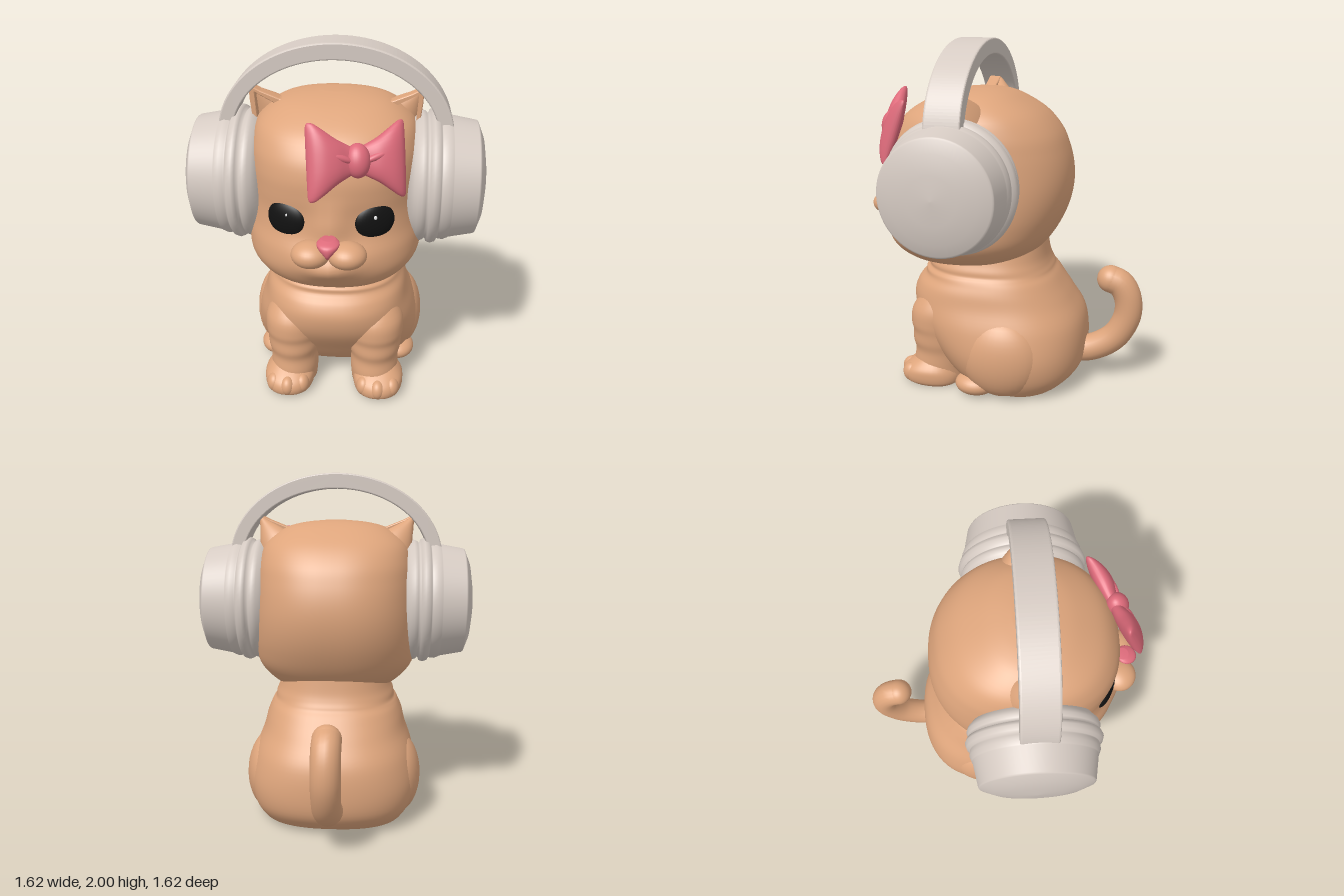
import * as THREE from 'three';

const mat = (name, color) => Object.assign(new THREE.MeshStandardMaterial({ color }), { name });

// Smooth closed surface through levels [y, zFront, zBack, halfWidth], superelliptic in section
function loft(levels, n = 2, seg = 48, sub = 5) {
  const rows = [];
  const at = (i) => levels[Math.max(0, Math.min(levels.length - 1, i))];
  for (let i = 0; i < levels.length - 1; i++) {
    for (let s = 0; s < sub; s++) {
      const t = s / sub;
      rows.push(at(i).map((b, k) => {
        const a = at(i - 1)[k], c = at(i + 1)[k], d = at(i + 2)[k];
        return b + 0.5 * t * (c - a + t * (2 * a - 5 * b + 4 * c - d + t * (3 * (b - c) + d - a)));
      }));
    }
  }
  rows.push(at(levels.length - 1));
  const pos = [], idx = [];
  const pw = (v) => Math.sign(v) * Math.abs(v) ** (2 / n);
  for (const [y, zf, zb, w] of rows) {
    for (let j = 0; j < seg; j++) {
      const a = (j / seg) * Math.PI * 2;
      pos.push(w * pw(Math.cos(a)), y, (zf + zb) / 2 + ((zf - zb) / 2) * pw(Math.sin(a)));
    }
  }
  for (let i = 0; i < rows.length - 1; i++) {
    for (let j = 0; j < seg; j++) {
      const a = i * seg + j, b = i * seg + (j + 1) % seg;
      idx.push(a, a + seg, b, b, a + seg, b + seg);
    }
  }
  // end caps
  for (const [r, flip] of [[0, false], [rows.length - 1, true]]) {
    const c = pos.length / 3, [y, zf, zb] = rows[r];
    pos.push(0, y, (zf + zb) / 2);
    for (let j = 0; j < seg; j++) {
      const a = r * seg + j, b = r * seg + (j + 1) % seg;
      idx.push(c, ...(flip ? [b, a] : [a, b]));
    }
  }
  const g = new THREE.BufferGeometry();
  g.setAttribute('position', new THREE.Float32BufferAttribute(pos, 3));
  g.setIndex(idx);
  g.computeVertexNormals();
  return g;
}

// Push the front of a surface forward in soft bumps [y, widthX, widthY, amount]
function bulgeFront(geo, bumps) {
  const p = geo.attributes.position;
  for (let i = 0; i < p.count; i++) {
    if (p.getZ(i) < 0.3) continue;
    let z = p.getZ(i);
    for (const [y, wx, wy, k] of bumps) z += k * Math.exp(-((p.getX(i) / wx) ** 2) - ((p.getY(i) - y) / wy) ** 2);
    p.setZ(i, z);
  }
  geo.computeVertexNormals();
  return geo;
}

export function createModel() {
  const model = new THREE.Group();
  model.name = 'kittenWithHeadphones';
  const fur = mat('fur', 0xdea57c), shell = mat('headphoneGrey', 0xd6cbc3);
  const pink = mat('pink', 0xdd6a7a), black = mat('eyeBlack', 0x121212), white = mat('glint', 0xf4f4f4);

  const add = (name, geo, m, p = [0, 0, 0], parent = model) => {
    const mesh = new THREE.Mesh(geo, m);
    mesh.name = name;
    mesh.position.set(...p);
    parent.add(mesh);
    return mesh;
  };
  const ball = (name, m, p, r, parent) => {
    const mesh = add(name, new THREE.SphereGeometry(1, 32, 20), m, p, parent);
    mesh.scale.set(...r);
    return mesh;
  };

  // Head: broad at the cheeks, rounded crown, with chin, muzzle and nose bridge swelling forward
  add('head', bulgeFront(loft([
    [0.71, 0.42, 0.15, 0.1], [0.725, 0.48, 0.02, 0.22], [0.76, 0.57, -0.12, 0.33],
    [0.82, 0.65, -0.21, 0.41], [0.9, 0.69, -0.28, 0.465], [1.0, 0.69, -0.335, 0.478],
    [1.1, 0.66, -0.37, 0.475], [1.2, 0.65, -0.385, 0.47], [1.3, 0.66, -0.38, 0.465],
    [1.4, 0.66, -0.355, 0.46], [1.5, 0.63, -0.31, 0.448], [1.6, 0.55, -0.22, 0.41],
    [1.68, 0.41, -0.09, 0.31], [1.715, 0.3, 0.0, 0.2], [1.73, 0.2, 0.08, 0.07],
  ], 2.4, 96), [[0.96, 0.15, 0.08, 0.075], [1.16, 0.09, 0.12, 0.045]]), fur);

  // Seated body: broad rear, chest forward, soft folds at the neck
  add('body', loft([
    [0, 0.14, -0.34, 0.37], [0.03, 0.2, -0.4, 0.41], [0.12, 0.32, -0.475, 0.465],
    [0.25, 0.42, -0.495, 0.49], [0.4, 0.52, -0.475, 0.468], [0.52, 0.55, -0.405, 0.425],
    [0.6, 0.525, -0.35, 0.405], [0.65, 0.48, -0.315, 0.385], [0.68, 0.475, -0.29, 0.37],
    [0.7, 0.455, -0.28, 0.355], [0.73, 0.455, -0.265, 0.35], [0.78, 0.43, -0.25, 0.33], [0.88, 0.38, -0.235, 0.3],
  ], 2.4, 64), fur);

  // Tail curling up behind
  const tailPath = new THREE.CatmullRomCurve3([
    [0.17, -0.36], [0.19, -0.52], [0.28, -0.66], [0.42, -0.73], [0.54, -0.725], [0.615, -0.68], [0.637, -0.625],
  ].map(([y, z]) => new THREE.Vector3(0, y, z)));
  add('tail', new THREE.TubeGeometry(tailPath, 40, 0.08, 20), fur);
  ball('tailTip', fur, [0, 0.637, -0.625], [0.08, 0.08, 0.08]);

  for (const s of [1, -1]) {
    const side = s > 0 ? 'left' : 'right';
    const points = (pts) => pts.map(([x, y]) => new THREE.Vector2(s * x, y));

    // Front leg fading into the chest, with paw and toes
    add(side + 'FrontLeg', loft([
      [0.03, 0.5, 0.2, 0.13], [0.12, 0.51, 0.2, 0.138], [0.2, 0.5, 0.19, 0.138],
      [0.26, 0.512, 0.18, 0.15], [0.32, 0.51, 0.18, 0.155], [0.38, 0.52, 0.18, 0.162],
      [0.47, 0.505, 0.18, 0.155], [0.58, 0.42, 0.22, 0.1],
    ], 2, 32), fur, [s * 0.235, 0, 0]);
    add(side + 'FrontPaw', loft([
      [0, 0.54, 0.24, 0.12], [0.02, 0.57, 0.22, 0.138], [0.06, 0.575, 0.22, 0.145],
      [0.1, 0.55, 0.24, 0.138], [0.15, 0.48, 0.28, 0.1],
    ], 2.3, 32), fur, [s * 0.26, 0, 0]);
    for (const dx of [-0.08, 0, 0.08]) {
      ball(side + 'Toe', fur, [s * 0.26 + dx, 0.06, 0.53 - Math.abs(dx) * 0.4], [0.044, 0.058, 0.055]);
    }

    // Haunch and hind paw
    ball(side + 'Haunch', fur, [s * 0.375, 0.25, -0.06], [0.14, 0.24, 0.24]);
    ball(side + 'HindPaw', fur, [s * 0.375, 0.065, 0.09], [0.1, 0.065, 0.12]);

    // Pointed ear: hollow rim in front, rounded back
    const rim = new THREE.Shape(points([[0.19, 1.665], [0.3, 1.685], [0.4, 1.725], [0.455, 1.755], [0.45, 1.68], [0.43, 1.5], [0.3, 1.45]]));
    rim.holes.push(new THREE.Path(points([[0.31, 1.662], [0.432, 1.728], [0.422, 1.58]])));
    add(side + 'EarRim', new THREE.ExtrudeGeometry(rim, {
      depth: 0.05, bevelThickness: 0.01, bevelSize: 0.006, bevelSegments: 2,
    }), fur, [0, 0, 0.17]);
    const earBack = add(side + 'EarBack', loft([
      [0, 0.02, -0.2, 0.16], [0.15, 0.02, -0.12, 0.088], [0.25, 0.02, -0.04, 0.03], [0.295, 0.02, 0, 0.008],
    ], 2, 32), fur, [s * 0.29, 1.5, 0.165]);
    earBack.rotation.z = -s * 0.58;

    // Eye with a tiny glint
    const eye = ball(side + 'Eye', black, [s * 0.222, 1.175, 0.596], [0.11, 0.1, 0.04]);
    eye.rotation.y = s * 0.42;
    ball(side + 'EyeGlint', white, [s * 0.222 + 0.006, 1.21, 0.634], [0.009, 0.011, 0.005]);

    // Muzzle pad
    ball(side + 'MuzzlePad', fur, [s * 0.092, 1.035, 0.71], [0.1, 0.068, 0.095]);

    // Headphone cup: cushion rings, tapering can, domed cap
    const profile = [
      [0.37, 0], [0.38, 0.3], [0.42, 0.335], [0.438, 0.352], [0.46, 0.36], [0.48, 0.352], [0.492, 0.34],
      [0.5, 0.362], [0.52, 0.37], [0.545, 0.362], [0.555, 0.345], [0.56, 0.343], [0.565, 0.346],
      [0.59, 0.348], [0.615, 0.338], [0.62, 0.334], [0.75, 0.31], [0.757, 0.306], [0.76, 0.298],
      [0.785, 0.235], [0.803, 0.13], [0.81, 0],
    ].map(([x, r]) => new THREE.Vector2(r, x));
    const cup = new THREE.LatheGeometry(profile, 64).rotateZ(-s * Math.PI / 2);
    add(side + 'HeadphoneCup', cup, shell, [0, 1.255, 0.172]);
  }

  // Nose
  add('nose', loft([
    [1.05, 0.79, 0.76, 0.008], [1.07, 0.805, 0.74, 0.022], [1.1, 0.808, 0.71, 0.05],
    [1.12, 0.795, 0.69, 0.057], [1.135, 0.755, 0.69, 0.035],
  ], 2, 24), pink);

  // Headband: half-elliptical strap
  const band = new THREE.Shape();
  band.absellipse(0, 1.5, 0.617, 0.492, 0, Math.PI, false);
  band.absellipse(0, 1.5, 0.553, 0.418, Math.PI, 0, true);
  add('headband', new THREE.ExtrudeGeometry(band, {
    depth: 0.176, curveSegments: 48, bevelThickness: 0.012, bevelSize: 0.008, bevelSegments: 3,
  }), shell, [0, 0, 0.092]);

  // Bow, tilted back and turned along the forehead
  const bow = new THREE.Group();
  bow.name = 'bow';
  bow.position.set(0.132, 1.515, 0.635);
  bow.rotation.set(-0.33, 0.38, -0.06, 'YXZ');
  model.add(bow);
  for (const s of [1, -1]) {
    const lobe = loft([
      [0.0, 0.03, -0.03, 0.055], [0.05, 0.04, -0.035, 0.08], [0.11, 0.058, -0.04, 0.112],
      [0.17, 0.06, -0.04, 0.155], [0.215, 0.045, -0.035, 0.185], [0.242, 0.02, -0.025, 0.187], [0.25, 0.0, -0.01, 0.165],
    ], 2.3, 32).rotateZ(-s * Math.PI / 2);
    add('bowLobe', lobe, pink, [0, 0, 0], bow);
    // pleat beside the knot
    const pleat = ball('bowPleat', pink, [s * 0.1, 0.02, 0.035], [0.075, 0.02, 0.025], bow);
    pleat.rotation.z = s * 0.35;
  }
  ball('bowKnot', pink, [0, 0, 0.015], [0.062, 0.085, 0.06], bow);

  return model;
}
